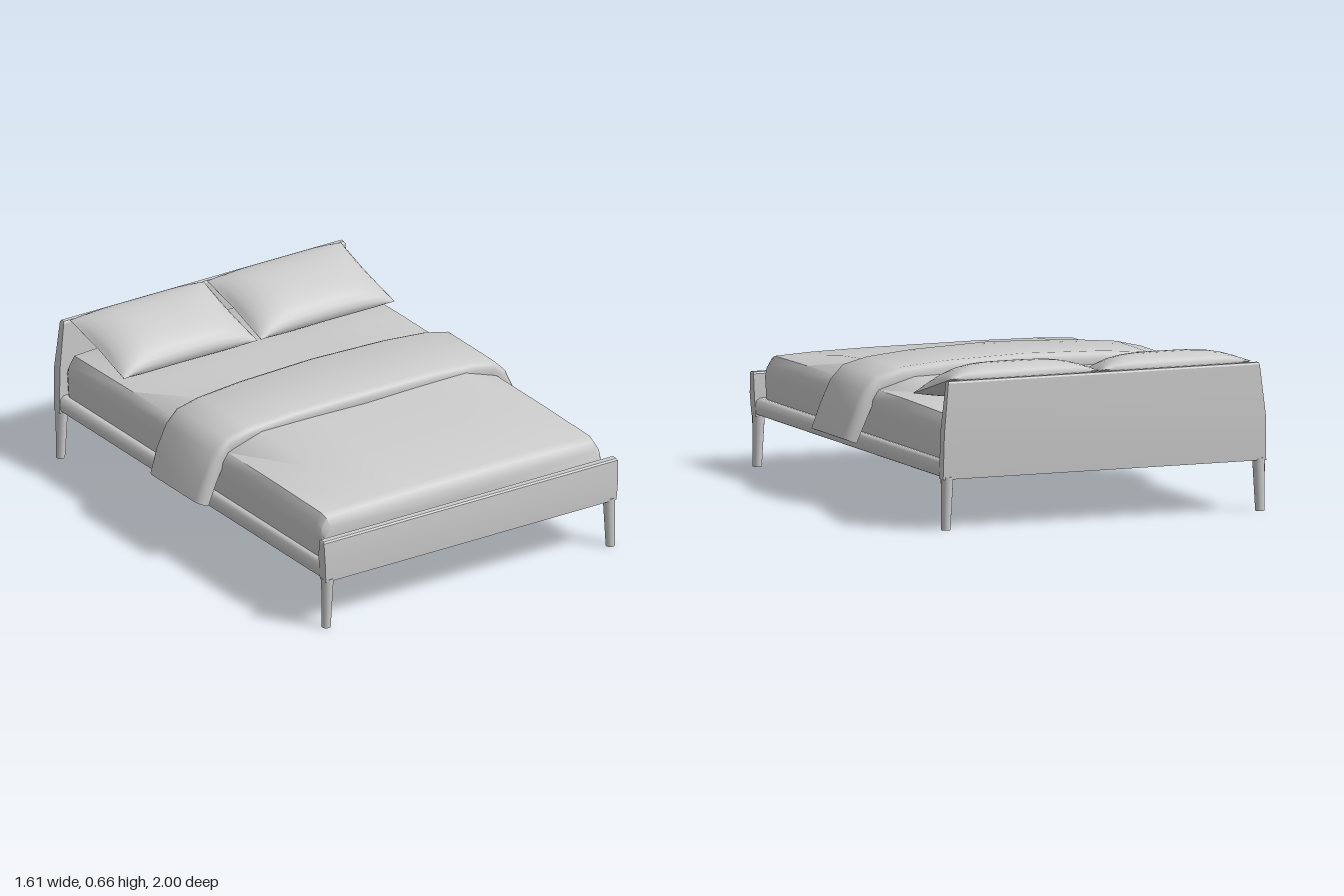
import * as THREE from 'three';
import { toCreasedNormals } from 'three/addons/utils/BufferGeometryUtils.js';

// Skin a list of equal-length point loops, cap both ends, and face it outwards.
function loft(loops, crease = 0.7) {
  const n = loops[0].length, pos = loops.flat(2), idx = [];
  for (let i = 0; i < loops.length - 1; i++) {
    for (let j = 0; j < n; j++) {
      const a = i * n + j, b = i * n + (j + 1) % n;
      idx.push(a, b, a + n, b, b + n, a + n);
    }
  }
  [0, loops.length - 1].forEach((row, end) => {
    const c = pos.length / 3;
    for (let k = 0; k < 3; k++) pos.push(loops[row].reduce((s, p) => s + p[k], 0) / n);
    for (let j = 0; j < n; j++) {
      const a = row * n + j, b = row * n + (j + 1) % n;
      idx.push(...(end ? [a, b, c] : [b, a, c]));
    }
  });
  // A negative enclosed volume means the faces point inwards.
  const v = (i) => new THREE.Vector3(pos[3 * i], pos[3 * i + 1], pos[3 * i + 2]);
  let volume = 0;
  for (let i = 0; i < idx.length; i += 3) volume += v(idx[i]).dot(v(idx[i + 1]).cross(v(idx[i + 2])));
  if (volume < 0) idx.reverse();
  const g = new THREE.BufferGeometry();
  g.setAttribute('position', new THREE.Float32BufferAttribute(pos, 3));
  g.setIndex(idx);
  return toCreasedNormals(g, crease);
}

// Upright board: rows of [y, half width, z front, z back].
function board(rows) {
  return loft(rows.map(([y, w, zf, zb]) => [[-w, y, zf], [w, y, zf], [w, y, zb], [-w, y, zb]]), 0.5);
}

// Mattress with a soft crown that is highest near the middle.
function mattress() {
  const rows = [[-0.955, 0.455, 0.98], [-0.93, 0.476, 1], [-0.5, 0.492, 1], [-0.2, 0.52, 1], [0.2, 0.532, 1],
    [0.55, 0.506, 1], [0.88, 0.478, 1], [0.915, 0.465, 0.995], [0.932, 0.43, 0.98]];
  return loft(rows.map(([z, top, s]) => {
    const edge = Math.min(0.47, top - 0.012);
    const half = [[0.685, 0.27], [0.692, 0.38], [0.685, edge - 0.04], [0.66, edge], [0.5, top - 0.004], [0.25, top]];
    const mirrored = half.map(([x, y]) => [-x, y]).reverse();
    return [...half, [0, top], ...mirrored].map(([x, y]) => [x * s, y, z]);
  }), 0.8);
}

// Folded throw draped across the bed, thick with rounded edges.
function throwBlanket() {
  const half = [[0.778, 0.262], [0.74, 0.36], [0.695, 0.455], [0.65, 0.502], [0.55, 0.525], [0.35, 0.542]];
  const path = [...half.map(([x, y]) => [-x, y]), [0, 0.552], ...half.slice().reverse()];
  return loft(path.map(([x, y], i) => {
    const p = path[Math.max(i - 1, 0)], q = path[Math.min(i + 1, path.length - 1)];
    const len = Math.hypot(q[0] - p[0], q[1] - p[1]);
    const nx = -(q[1] - p[1]) / len, ny = (q[0] - p[0]) / len;
    const back = -0.19 + 0.012 * (Math.abs(x) > 0.75), front = 0.228 - 0.04 * Math.abs(x);
    const section = [[back, -0.028], [back - 0.002, 0], [back + 0.008, 0.018], [back + 0.03, 0.028],
      [front - 0.03, 0.028], [front - 0.008, 0.018], [front, 0], [front - 0.004, -0.028]];
    return section.map(([z, t]) => [x + nx * t, y + ny * t, z]);
  }), 0.9);
}

// Plump pillow with pinched corners, leaning on the headboard.
function pillow() {
  const loops = [], steps = 16, around = 28, tilt = 0.272;
  for (let i = 0; i <= steps; i++) {
    const u = -Math.cos(Math.PI * i / steps), loop = [];
    const puff = 0.08 + 0.92 * Math.pow(1 - u ** 4, 0.8);
    for (let j = 0; j < around; j++) {
      const t = 2 * Math.PI * j / around, v = Math.cos(t), s = Math.sin(t);
      const h = puff * (s > 0 ? 0.085 : 0.045) * Math.sign(s) * Math.pow(Math.abs(s), 0.9);
      const d = 0.206 * v * (1 - 0.035 * (1 - u * u));
      const x = 0.328 * u * (1 - 0.035 * (1 - v * v));
      loop.push([x, d * Math.sin(tilt) + h * Math.cos(tilt), -d * Math.cos(tilt) + h * Math.sin(tilt)]);
    }
    loops.push(loop);
  }
  return loft(loops, 1.2);
}

export function createModel() {
  const bed = new THREE.Group();
  bed.name = 'bed';
  const grey = new THREE.MeshStandardMaterial({ color: 0xcccccc });
  grey.name = 'light grey';
  const add = (name, geometry, x = 0, y = 0, z = 0) => {
    const mesh = new THREE.Mesh(geometry, grey);
    mesh.name = name;
    mesh.position.set(x, y, z);
    bed.add(mesh);
    return mesh;
  };

  // Base platform with rounded side rails
  const rail = [[0.69, 0.21], [0.71, 0.218], [0.717, 0.245], [0.71, 0.275], [0.695, 0.285]];
  const outline = [...rail, ...rail.map(([x, y]) => [-x, y]).reverse()];
  add('basePlatform', loft([-0.965, 0.965].map((z) => outline.map(([x, y]) => [x, y, z])), 0.9));

  // Headboard narrows upwards; footboard is low
  add('headboard', board([[0.21, 0.718, -0.952, -0.994], [0.4, 0.714, -0.955, -0.998],
    [0.605, 0.692, -0.96, -0.988], [0.613, 0.688, -0.965, -0.983]]));
  add('footboard', board([[0.21, 0.714, 0.996, 0.952], [0.3, 0.72, 1, 0.952],
    [0.385, 0.722, 0.994, 0.956], [0.392, 0.718, 0.988, 0.962]]));

  // Tapered legs
  for (const x of [-1, 1]) {
    for (const z of [-1, 1]) {
      const leg = new THREE.CylinderGeometry(0.026, 0.019, 0.22, 16);
      // Lean the foot slightly outwards
      const p = leg.attributes.position;
      for (let i = 0; i < p.count; i++) if (p.getY(i) < 0) p.setX(i, p.getX(i) + x * 0.006);
      add(z > 0 ? 'frontLeg' : 'backLeg', leg, x * 0.692, 0.11, z * 0.974);
    }
  }

  // Bedding
  add('mattress', mattress());
  add('throwBlanket', throwBlanket());
  add('leftPillow', pillow(), 0.337, 0.562, -0.757);
  add('rightPillow', pillow(), -0.337, 0.562, -0.757);
  return bed;
}
